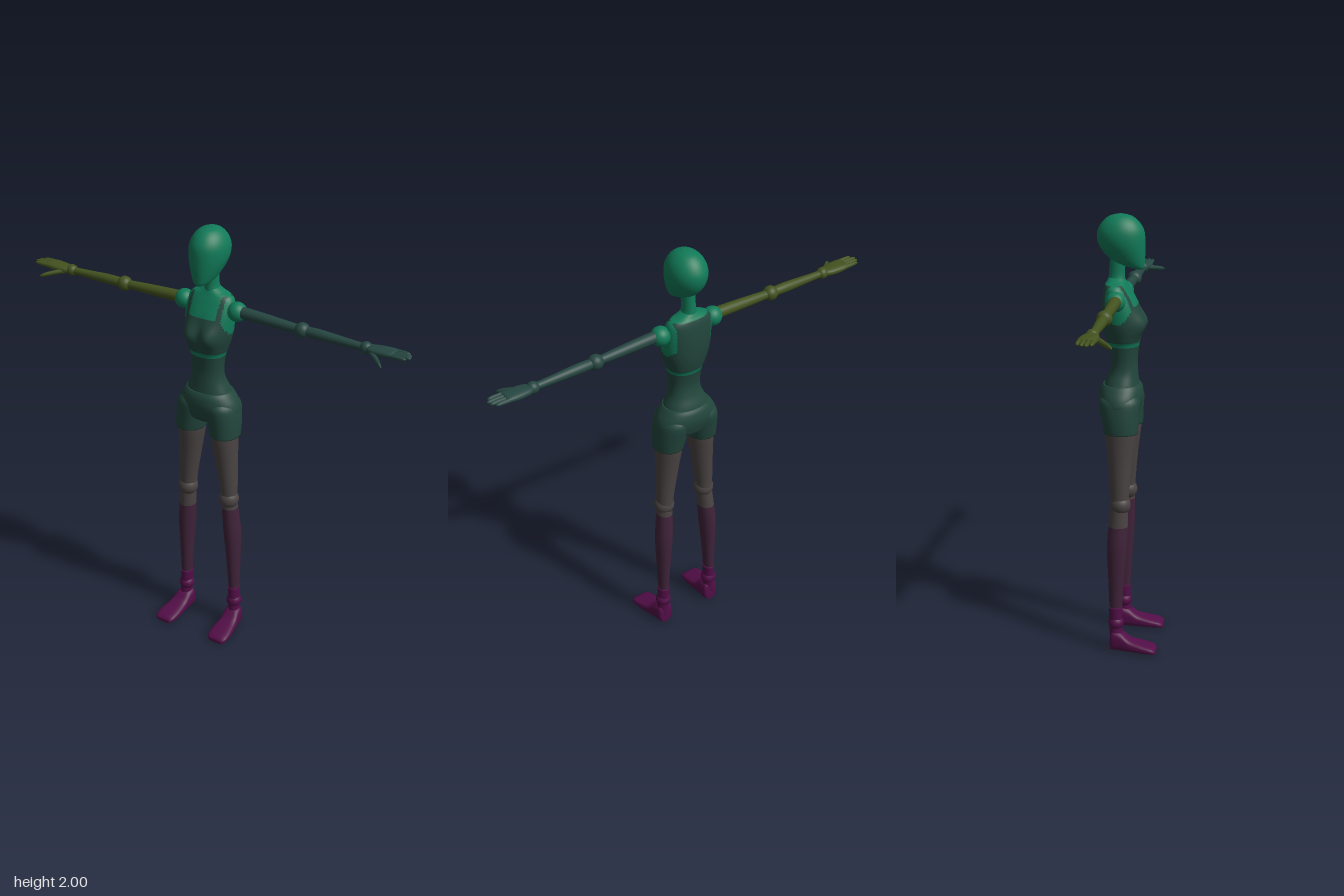
import * as THREE from 'three';

const mat = (name, color) => {
  const m = new THREE.MeshStandardMaterial({ color });
  m.name = name;
  return m;
};

// Smooth body from cross-sections [y, centreX, centreZ, halfX, halfZ, tilt];
// paint(x, y, z) picks a material index, bend(v) reshapes points.
function loft(rings, { rows = 24, seg = 28, pow = 1, paint, bend } = {}) {
  const at = (t) => {
    const f = t * (rings.length - 1), i = Math.min(Math.floor(f), rings.length - 2), u = f - i;
    const p = (k) => rings[Math.max(0, Math.min(rings.length - 1, k))];
    return [0, 1, 2, 3, 4, 5].map((c) => {
      const [a, b, d, e] = [p(i - 1)[c] || 0, p(i)[c] || 0, p(i + 1)[c] || 0, p(i + 2)[c] || 0];
      const v = 0.5 * (2 * b + (d - a) * u + (2 * a - 5 * b + 4 * d - e) * u * u + (3 * b - a - 3 * d + e) * u ** 3);
      return Math.min(Math.max(v, Math.min(b, d) - 0.008), Math.max(b, d) + 0.008);
    });
  };
  const pos = [], faces = [], v = new THREE.Vector3();
  const bulge = (n) => Math.sign(n) * Math.abs(n) ** pow;
  for (let j = 0; j <= rows; j++) {
    const [y, cx, cz, rx, rz, tilt] = at(j / rows);
    for (let i = 0; i < seg; i++) {
      const a = (i / seg) * Math.PI * 2, dz = bulge(Math.sin(a)) * rz;
      v.set(cx + bulge(Math.cos(a)) * rx, y + tilt * dz, cz + dz);
      if (bend) bend(v);
      pos.push(v.x, v.y, v.z);
    }
  }
  for (let j = 0; j < rows; j++) for (let i = 0; i < seg; i++) {
    const a = j * seg + i, b = j * seg + (i + 1) % seg;
    faces.push([a, a + seg, b], [b, a + seg, b + seg]);
  }
  // End caps
  const first = rings[0], last = rings[rings.length - 1], n = pos.length / 3, top = rows * seg;
  pos.push(first[1], first[0], first[2], last[1], last[0], last[2]);
  for (let i = 0; i < seg; i++) {
    const k = (i + 1) % seg;
    faces.push([n, i, k], [n + 1, top + k, top + i]);
  }
  const g = new THREE.BufferGeometry();
  g.setAttribute('position', new THREE.Float32BufferAttribute(pos, 3));
  if (paint) {
    const sets = [[], []];
    for (const f of faces) {
      const c = [0, 1, 2].map((k) => f.reduce((s, q) => s + pos[q * 3 + k], 0) / 3);
      sets[paint(...c)].push(...f);
    }
    g.setIndex(sets.flat());
    g.addGroup(0, sets[0].length, 0);
    g.addGroup(sets[0].length, sets[1].length, 1);
  } else g.setIndex(faces.flat());
  g.computeVertexNormals();
  return g;
}

const ball = (r, x, y, z) => new THREE.SphereGeometry(r, 24, 16).translate(x, y, z);

// Mirror a geometry to the right side, keeping faces outward
function mirror(g) {
  g.scale(-1, 1, 1);
  const ix = g.index.array;
  for (let i = 0; i < ix.length; i += 3) [ix[i], ix[i + 1]] = [ix[i + 1], ix[i]];
  return g;
}

export function createModel() {
  const skin = mat('bright green', 0x117a58), cloth = mat('dark green', 0x22463c);
  const teal = mat('dark teal', 0x264641), olive = mat('olive', 0x43521f);
  const taupe = mat('taupe', 0x4a4343), plum = mat('dark plum', 0x40233a), purple = mat('purple', 0x520e47);
  const model = new THREE.Group();
  model.name = 'figure';
  const add = (name, geo, m, parent = model) => {
    const mesh = new THREE.Mesh(geo, m);
    mesh.name = name;
    parent.add(mesh);
  };

  // Head: egg with a tilted jaw
  add('head', loft([
    [1.772, 0, -0.012, 0.022, 0.05, -0.3], [1.785, 0, -0.018, 0.045, 0.078, -0.32],
    [1.82, 0, -0.03, 0.066, 0.096, -0.25], [1.87, 0, -0.037, 0.083, 0.105, -0.1],
    [1.92, 0, -0.04, 0.084, 0.104], [1.96, 0, -0.04, 0.069, 0.084],
    [1.987, 0, -0.04, 0.043, 0.053], [1.998, 0, -0.04, 0.014, 0.018],
  ], { rows: 40, seg: 36 }), skin);
  add('neck', loft([
    [1.66, 0, -0.06, 0.055, 0.045], [1.71, 0, -0.058, 0.035, 0.038],
    [1.75, 0, -0.057, 0.029, 0.035], [1.83, 0, -0.05, 0.03, 0.036],
  ]), skin);

  // Torso in one piece: clothing with bare neckline, armholes and midriff band
  const bare = (x, y, z) => {
    const neckline = y > 1.605 && z > -0.05 && Math.abs(x) < 0.07;
    const armhole = Math.abs(x) > 0.088 && ((y - 1.615) / 0.085) ** 2 + ((z + 0.045) / 0.065) ** 2 < 1;
    return neckline || armhole || y > 1.695 || (y > 1.42 && y < 1.438) ? 1 : 0;
  };
  const bust = (v) => {
    if (v.z < -0.03) return;
    const d = (Math.abs(v.x) - 0.05) / 0.042, h = (v.y - 1.52) / 0.052;
    v.z += 0.032 * Math.exp(-d * d - h * h) * Math.min(1, (v.z + 0.03) / 0.05);
  };
  add('torso', loft([
    [1.2, 0, -0.037, 0.12, 0.085], [1.25, 0, -0.035, 0.1, 0.076],
    [1.3, 0, -0.028, 0.079, 0.064], [1.35, 0, -0.025, 0.074, 0.059],
    [1.42, 0, -0.027, 0.081, 0.068], [1.45, 0, -0.03, 0.091, 0.075],
    [1.52, 0, -0.035, 0.11, 0.083], [1.6, 0, -0.043, 0.116, 0.078],
    [1.66, 0, -0.055, 0.112, 0.062], [1.69, 0, -0.06, 0.096, 0.05],
    [1.705, 0, -0.06, 0.06, 0.042], [1.72, 0, -0.06, 0.032, 0.034],
  ], { rows: 72, seg: 64, pow: 0.9, paint: bare, bend: bust }), [cloth, skin]);
  add('hips', loft([
    [1.09, 0, -0.035, 0.06, 0.05], [1.11, 0, -0.036, 0.12, 0.078],
    [1.15, 0, -0.037, 0.15, 0.092], [1.19, 0, -0.038, 0.143, 0.098],
    [1.225, 0, -0.037, 0.122, 0.093], [1.245, 0, -0.036, 0.106, 0.082],
  ], { seg: 40, pow: 0.92 }), cloth);

  for (const s of [1, -1]) {
    const side = s > 0 ? 'left' : 'right', arm = new THREE.Group(), leg = new THREE.Group();
    arm.name = side + 'Arm';
    leg.name = side + 'Leg';
    model.add(arm, leg);
    const put = (name, g, m, parent) => add(name, s < 0 ? mirror(g) : g, m, parent);

    // Leg
    put('shortsLeg', loft([
      [1.035, 0.091, -0.028, 0.067, 0.076], [1.1, 0.084, -0.033, 0.073, 0.084],
      [1.17, 0.076, -0.037, 0.072, 0.092], [1.2, 0.07, -0.037, 0.06, 0.08],
    ], { pow: 0.94 }), cloth, leg);
    put('thigh', loft([
      [0.68, 0.113, -0.032, 0.037, 0.04], [0.76, 0.11, -0.031, 0.041, 0.043],
      [0.9, 0.098, -0.03, 0.051, 0.055], [1.02, 0.088, -0.028, 0.06, 0.069],
      [1.06, 0.087, -0.028, 0.06, 0.069],
    ]), taupe, leg);
    put('knee', ball(0.047, 0.113, 0.702, -0.028), taupe, leg);
    const split = s > 0 ? 0.66 : 0.6;
    put('calf', loft([
      [0.13, 0.137, -0.047, 0.024, 0.028], [0.22, 0.135, -0.047, 0.025, 0.03],
      [0.35, 0.132, -0.045, 0.031, 0.037], [0.5, 0.127, -0.042, 0.039, 0.046],
      [0.6, 0.12, -0.037, 0.038, 0.044], [0.7, 0.114, -0.031, 0.035, 0.039],
    ], { rows: 40, paint: (x, y) => (y > split ? 1 : 0) }), [plum, taupe], leg);
    put('ankleCuff', loft([
      [0.05, 0.14, -0.042, 0.034, 0.032], [0.1, 0.138, -0.046, 0.028, 0.03],
      [0.21, 0.135, -0.047, 0.0275, 0.032],
    ]), purple, leg);
    put('ankle', ball(0.036, 0.136, 0.132, -0.046), purple, leg);
    // Foot: sections run from heel to toe, widening forward
    const section = (z, x, w, h) => [z, x, -h / 2, w, h / 2];
    put('foot', loft([
      section(-0.072, 0.136, 0.026, 0.075), section(-0.06, 0.136, 0.038, 0.098),
      section(-0.02, 0.139, 0.041, 0.088), section(0.02, 0.143, 0.045, 0.058),
      section(0.08, 0.147, 0.051, 0.042), section(0.125, 0.15, 0.049, 0.03),
      section(0.143, 0.15, 0.036, 0.016),
    ], { pow: 0.65 }).rotateX(Math.PI / 2), purple, leg);

    // Arm: sections run outward along x
    const armMat = s > 0 ? teal : olive;
    const along = (rings, o) => loft(rings, o).rotateZ(-Math.PI / 2).translate(0, 1.635, -0.042);
    put('shoulder', ball(0.044, 0.136, 1.636, -0.045), skin, arm);
    put('upperArm', along([
      [0.14, -0.004, 0, 0.027, 0.027], [0.2, -0.004, 0, 0.026, 0.026],
      [0.34, 0, 0, 0.023, 0.023], [0.46, 0.003, 0, 0.018, 0.018],
    ]), armMat, arm);
    put('elbow', ball(0.034, 0.46, 1.632, -0.042), armMat, arm);
    put('forearm', along([
      [0.46, 0.003, 0, 0.02, 0.02], [0.54, 0.003, 0, 0.023, 0.023],
      [0.66, 0.005, 0, 0.019, 0.019], [0.77, 0.006, 0, 0.015, 0.016],
    ]), armMat, arm);
    put('wrist', ball(0.027, 0.76, 1.629, -0.042), armMat, arm);
    put('palm', along([
      [0.76, 0.006, 0, 0.014, 0.018], [0.79, 0.005, 0.001, 0.017, 0.033],
      [0.84, 0.003, 0, 0.018, 0.039], [0.88, 0, -0.001, 0.014, 0.038],
      [0.892, 0, -0.001, 0.009, 0.034],
    ], { pow: 0.8 }), armMat, arm);
    // Fingers and thumb
    [0.952, 0.965, 0.96, 0.945].forEach((tip, i) => {
      const z = 0.027 - i * 0.0187;
      put('finger', along([
        [0.865, 0.001, z, 0.0105, 0.0098], [tip - 0.03, 0, z, 0.0095, 0.0092],
        [tip - 0.008, 0, z, 0.007, 0.007], [tip, 0, z, 0.002, 0.002],
      ], { rows: 12, seg: 12 }), armMat, arm);
    });
    put('thumb', along([
      [0.785, 0.01, 0.015, 0.012, 0.016], [0.825, 0.017, 0.047, 0.012, 0.015],
      [0.86, 0.025, 0.078, 0.01, 0.011], [0.876, 0.029, 0.092, 0.003, 0.004],
    ], { rows: 14, seg: 14 }), armMat, arm);
  }
  return model;
}
